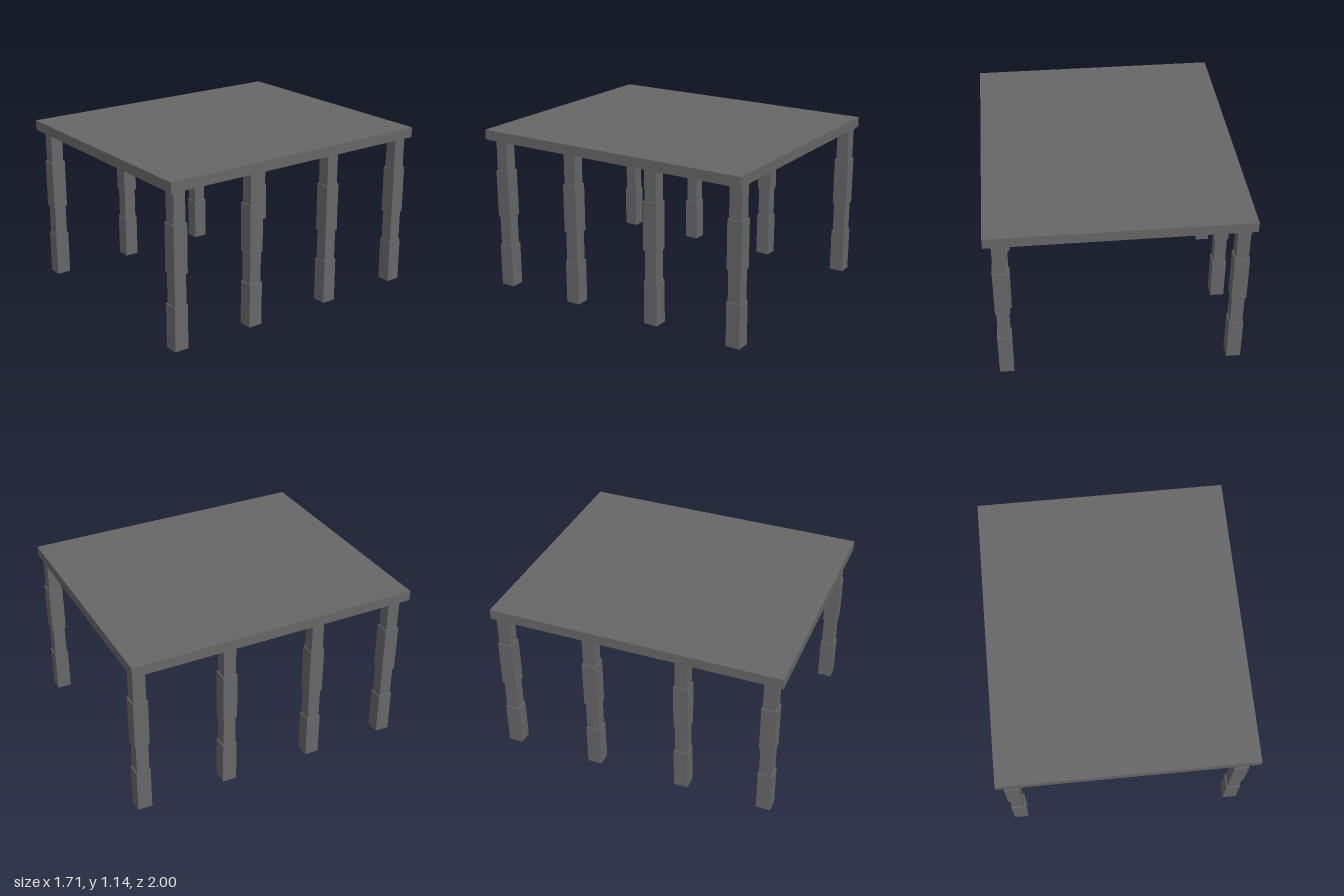
import * as THREE from 'three';

export function createModel() {
  const model = new THREE.Group();
  model.name = 'table';
  const grey = new THREE.MeshStandardMaterial({ color: 0x666666 });
  grey.name = 'dark grey';

  // Box placed by its centre in plan and its bottom and top heights
  function block(name, width, depth, y0, y1, parent) {
    const mesh = new THREE.Mesh(new THREE.BoxGeometry(width, y1 - y0, depth), grey);
    mesh.name = name;
    mesh.position.y = (y0 + y1) / 2;
    parent.add(mesh);
    return mesh;
  }

  // Flat slab on top
  block('tableTop', 1.706, 2, 1.074, 1.143, model);

  // Leg sections from the floor up: name, width, bottom, top
  const sections = [
    ['foot', 0.096, 0, 0.303],
    ['lowerNeck', 0.083, 0.303, 0.515],
    ['middleBlock', 0.098, 0.515, 0.848],
    ['upperNeck', 0.083, 0.848, 1.06],
    ['cap', 0.096, 1.06, 1.074],
  ];

  // Two rows of four stepped legs
  for (const x of [-0.77, 0.76]) {
    for (const z of [0.909, 0.322, -0.321, -0.941]) {
      const leg = new THREE.Group();
      leg.name = x > 0 ? 'leftLeg' : 'rightLeg';
      leg.position.set(x, 0, z);
      for (const [name, w, y0, y1] of sections) block(name, w, w + 0.003, y0, y1, leg);
      model.add(leg);
    }
  }
  return model;
}
